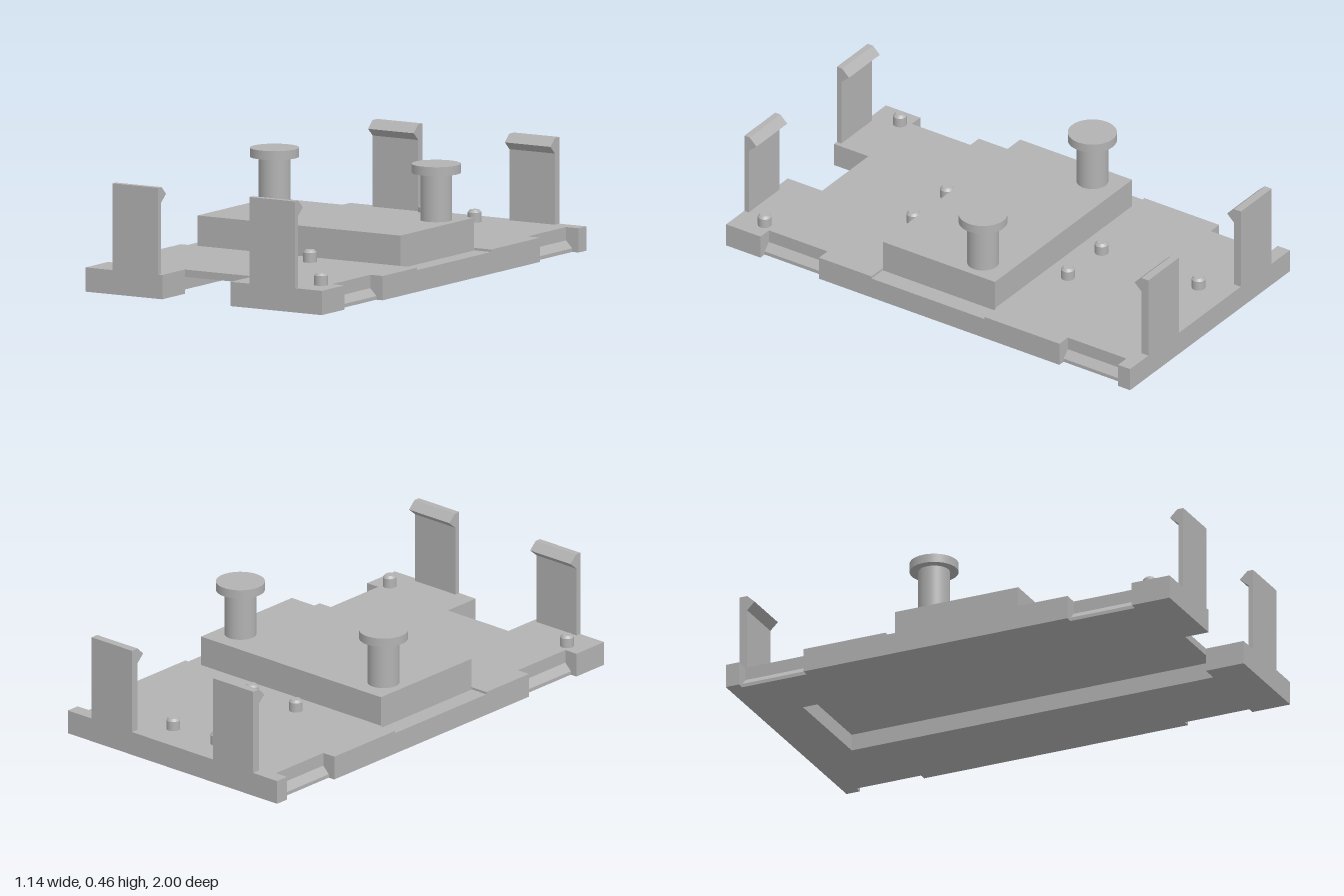
import * as THREE from 'three';

export function createModel() {
  const model = new THREE.Group();
  const grey = new THREE.MeshStandardMaterial({ color: 0xb2b2b2 });
  grey.name = 'plain grey';

  const add = (geometry, name, x = 0, y = 0, z = 0) => {
    const mesh = new THREE.Mesh(geometry, grey);
    mesh.name = name;
    mesh.position.set(x, y, z);
    model.add(mesh);
    return mesh;
  };

  // Horizontal slab from an outline of [x, z] points
  const slab = (points, y0, y1, name) => {
    const shape = new THREE.Shape(points.map(([x, z]) => new THREE.Vector2(x, -z)));
    const geometry = new THREE.ExtrudeGeometry(shape, { depth: y1 - y0, bevelEnabled: false });
    geometry.rotateX(-Math.PI / 2);
    add(geometry, name, 0, y0, 0);
  };

  // Base plate: notched sides, open front, long channel underneath
  const ledge = [[0.49, 0.28], [0.49, -0.28], [0.57, -0.28]];
  const side = (stepped) => [
    [0.57, 1], [0.57, 0.83], [0.51, 0.83], [0.51, 0.54], [0.57, 0.54],
    ...(stepped ? [[0.57, 0.28], ...ledge] : []),
    [0.57, -0.65], [0.51, -0.65], [0.51, -0.94], [0.57, -0.94], [0.57, -1],
  ];
  const outline = (stepped, opening) => [
    ...side(stepped),
    ...side(stepped).reverse().map(([x, z]) => [-x, z]),
    ...opening,
  ];
  const frontNotch = [[-0.2, 1], [-0.2, 0.83], [0.13, 0.83], [0.13, 1]];
  const channel = [
    [-0.2, 1], [-0.2, 0.83], [-0.26, 0.83], [-0.26, -0.8],
    [0.2, -0.8], [0.2, 0.83], [0.13, 0.83], [0.13, 1],
  ];
  slab(outline(false, channel), 0, 0.07, 'channelledBase');
  slab(outline(false, frontNotch), 0.07, 0.09, 'basePlate');
  slab(outline(true, frontNotch), 0.09, 0.1, 'baseTop');

  // Prism along an axis from a 2D cross-section, centred on its length
  const prism = (points, length) => {
    const shape = new THREE.Shape(points.map(([a, b]) => new THREE.Vector2(a, b)));
    const geometry = new THREE.ExtrudeGeometry(shape, { depth: length, bevelEnabled: false });
    return geometry.translate(0, 0, -length / 2);
  };

  // Sloped lips in the side notches
  const lip = [[0.51, 0], [0.54, 0], [0.54, 0.015], [0.51, 0.045]];
  for (const s of [-1, 1]) {
    for (const z of [0.685, -0.795]) {
      add(prism(lip.map(([x, y]) => [s * x, y]), 0.29), 'notchLip', 0, 0, z);
    }
  }

  // Raised centre block
  add(new THREE.BoxGeometry(0.98, 0.135, 0.555), 'centreBlock', 0, 0.1575, 0.0025);

  // Flat-headed posts
  for (const x of [-0.39, 0.39]) {
    add(new THREE.CylinderGeometry(0.065, 0.065, 0.2, 40), 'postStem', x, 0.325, -0.147);
    add(new THREE.CylinderGeometry(0.1, 0.1, 0.037, 48), 'postHead', x, 0.4385, -0.147);
  }

  // Small pegs with chamfered tops
  for (const [x, z] of [[0.12, -0.86], [0.12, -0.38], [0.12, 0.385], [0.483, 0.87]]) {
    for (const s of [-1, 1]) {
      add(new THREE.CylinderGeometry(0.028, 0.028, 0.042, 24), 'peg', s * x, 0.119, z);
      add(new THREE.CylinderGeometry(0.019, 0.028, 0.01, 24), 'pegTip', s * x, 0.145, z);
    }
  }

  // Hooked clips; profile is [distance in from the end, height]
  const clip = (thickness, lean) => [
    [0, 0.09], [thickness, 0.09], [thickness, 0.393], [lean + 0.034, 0.425],
    [lean, 0.457], [0, 0.457],
  ];
  for (const x of [-0.33, 0.33]) {
    const front = add(prism(clip(0.022, 0.026), 0.22), 'frontClip', x, 0, 1);
    front.rotation.y = Math.PI / 2;
    const back = add(prism(clip(0.034, 0.034), 0.22), 'backClip', x, 0, -1);
    back.rotation.y = -Math.PI / 2;
  }

  return model;
}
